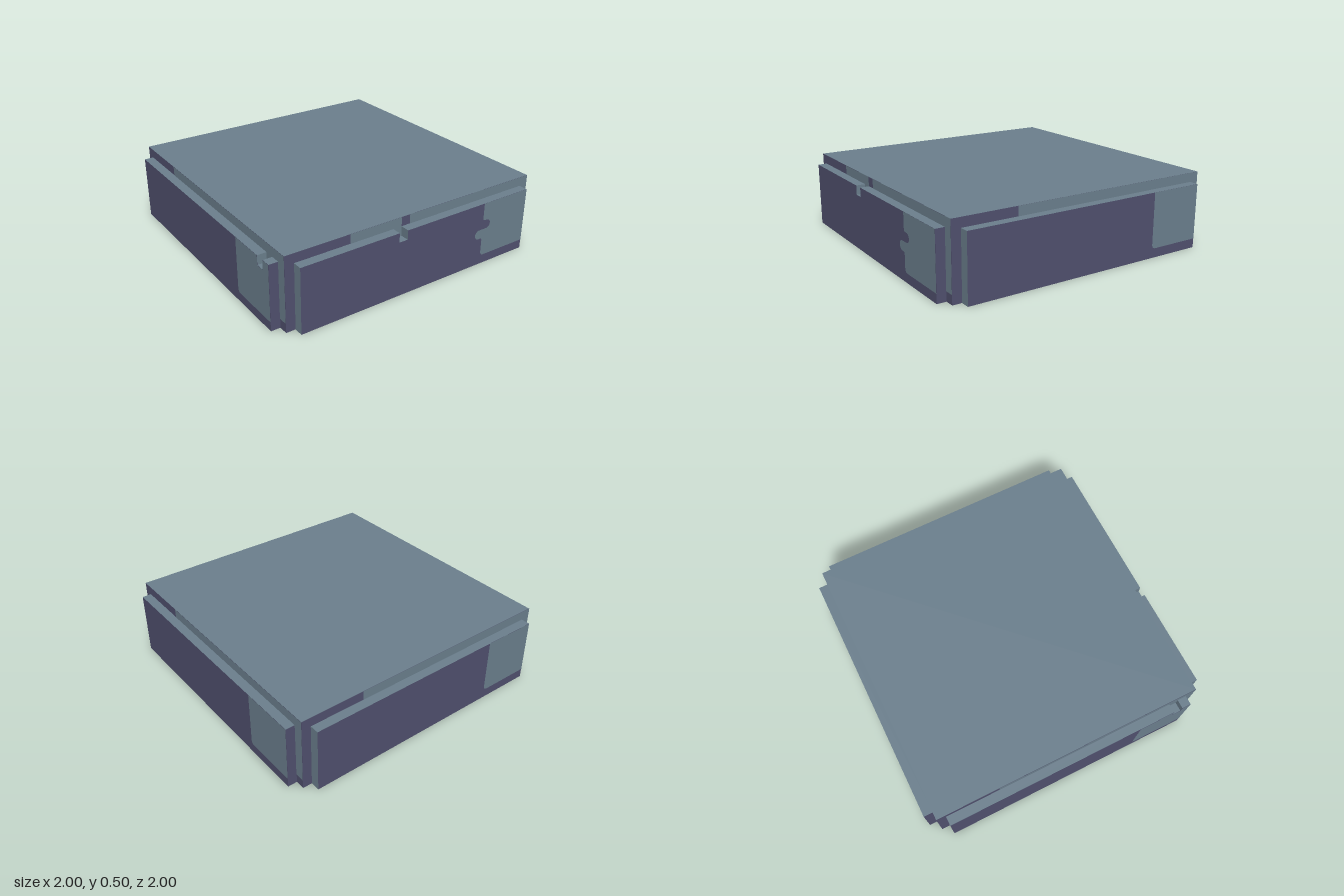
import * as THREE from 'three';

const slate = new THREE.MeshStandardMaterial({ color: 0x6b7f8d });
slate.name = 'slate blue';
const plum = new THREE.MeshStandardMaterial({ color: 0x50506e });
plum.name = 'dark plum';

const U = 1 / 16; // basic grid step
const BODY = 15 * U, PANEL = 14 * U, TOP = 8 * U, RIM = 7 * U;

// Box between two corners; materials run right, left, top, bottom, front, back
function box(name, [x0, y0, z0], [x1, y1, z1], materials) {
  const geo = new THREE.BoxGeometry(x1 - x0, y1 - y0, z1 - z0);
  geo.translate((x0 + x1) / 2, (y0 + y1) / 2, (z0 + z1) / 2);
  const mesh = new THREE.Mesh(geo, materials);
  mesh.name = name;
  return mesh;
}

// Flat painted face lying just in front of a wall
function paint(name, shape, z) {
  const mesh = new THREE.Mesh(new THREE.ShapeGeometry(shape, 10), slate);
  mesh.position.z = z + 0.0015;
  mesh.name = name;
  return mesh;
}

function rect(x0, y0, x1, y1) {
  return new THREE.Shape([
    new THREE.Vector2(x0, y0), new THREE.Vector2(x1, y0),
    new THREE.Vector2(x1, y1), new THREE.Vector2(x0, y1),
  ]);
}

// Light patch with a rounded lower corner, optionally with an interlocking edge
function patchShape(interlocking) {
  const s = new THREE.Shape(), x = 0.497, r = 0.03;
  s.moveTo(PANEL, RIM);
  s.lineTo(x, RIM);
  if (interlocking) {
    s.lineTo(x, 0.335);
    s.quadraticCurveTo(x, 0.317, x + 0.018, 0.317);
    s.lineTo(0.528, 0.317);
    s.absarc(0.528, 0.286, 0.031, Math.PI / 2, -Math.PI / 2, true);
    s.lineTo(0.468, 0.255);
    s.absarc(0.468, 0.223, 0.032, Math.PI / 2, Math.PI * 1.5, false);
    s.lineTo(x - 0.018, 0.191);
    s.quadraticCurveTo(x, 0.191, x, 0.173);
  }
  s.lineTo(x, U + r);
  s.quadraticCurveTo(x, U, x + r, U);
  s.lineTo(PANEL, U);
  s.closePath();
  return s;
}

// One side, built facing +z: raised panel, painted patch and painted rim strips
function makeSide({ name, notch, interlocking, strips }) {
  const side = new THREE.Group();
  side.name = name;
  const skin = [plum, slate, slate, plum, plum, plum];
  const addPanel = (x0, y0, x1, y1, mats = skin) =>
    side.add(box('sidePanel', [x0, y0, BODY], [x1, y1, 1], mats));

  const patch = patchShape(interlocking);
  if (notch === undefined) {
    addPanel(-PANEL, 0, PANEL, RIM);
  } else {
    // Panel with a small notch cut into its top edge
    addPanel(-PANEL, 0, PANEL, RIM - U);
    addPanel(-PANEL, RIM - U, notch, RIM, [slate, slate, slate, plum, plum, plum]);
    addPanel(notch + U, RIM - U, PANEL, RIM);
    side.add(paint('notchBack', rect(notch, RIM - U, notch + U, RIM), BODY));
  }
  if (notch > 0.5) {
    // The notch also interrupts the patch
    const cut = new THREE.Shape();
    cut.moveTo(PANEL, U);
    cut.lineTo(PANEL, RIM);
    cut.lineTo(notch + U, RIM);
    cut.lineTo(notch + U, RIM - U);
    cut.lineTo(notch, RIM - U);
    cut.lineTo(notch, RIM);
    cut.lineTo(0.497, RIM);
    cut.lineTo(0.497, U + 0.03);
    cut.quadraticCurveTo(0.497, U, 0.527, U);
    cut.closePath();
    side.add(paint('panelPatch', cut, 1));
  } else {
    side.add(paint('panelPatch', patch, 1));
  }
  for (const [x0, x1] of strips) side.add(paint('rimStrip', rect(x0, RIM, x1, TOP), BODY));
  side.add(paint('cornerStrip', rect(PANEL, U, BODY, RIM), BODY));
  return side;
}

export function createModel() {
  const model = new THREE.Group();
  model.name = 'panelledBlock';

  // Core block with a light top
  model.add(box('body', [-BODY, 0, -BODY], [BODY, TOP, BODY],
    [plum, plum, slate, plum, plum, plum]));

  // Four sides, each turned a quarter further
  const sides = [
    { name: 'frontSide', notch: -3 * U, interlocking: true, strips: [[-0.5, -2 * U], [-U, BODY]] },
    { name: 'leftSide', strips: [[-0.5, BODY]] },
    { name: 'backSide', strips: [[-0.5, BODY]] },
    { name: 'rightSide', notch: 12 * U, strips: [[-0.5, BODY]] },
  ];
  sides.forEach((spec, i) => {
    const side = makeSide(spec);
    side.rotation.y = i * Math.PI / 2;
    model.add(side);
  });
  return model;
}
